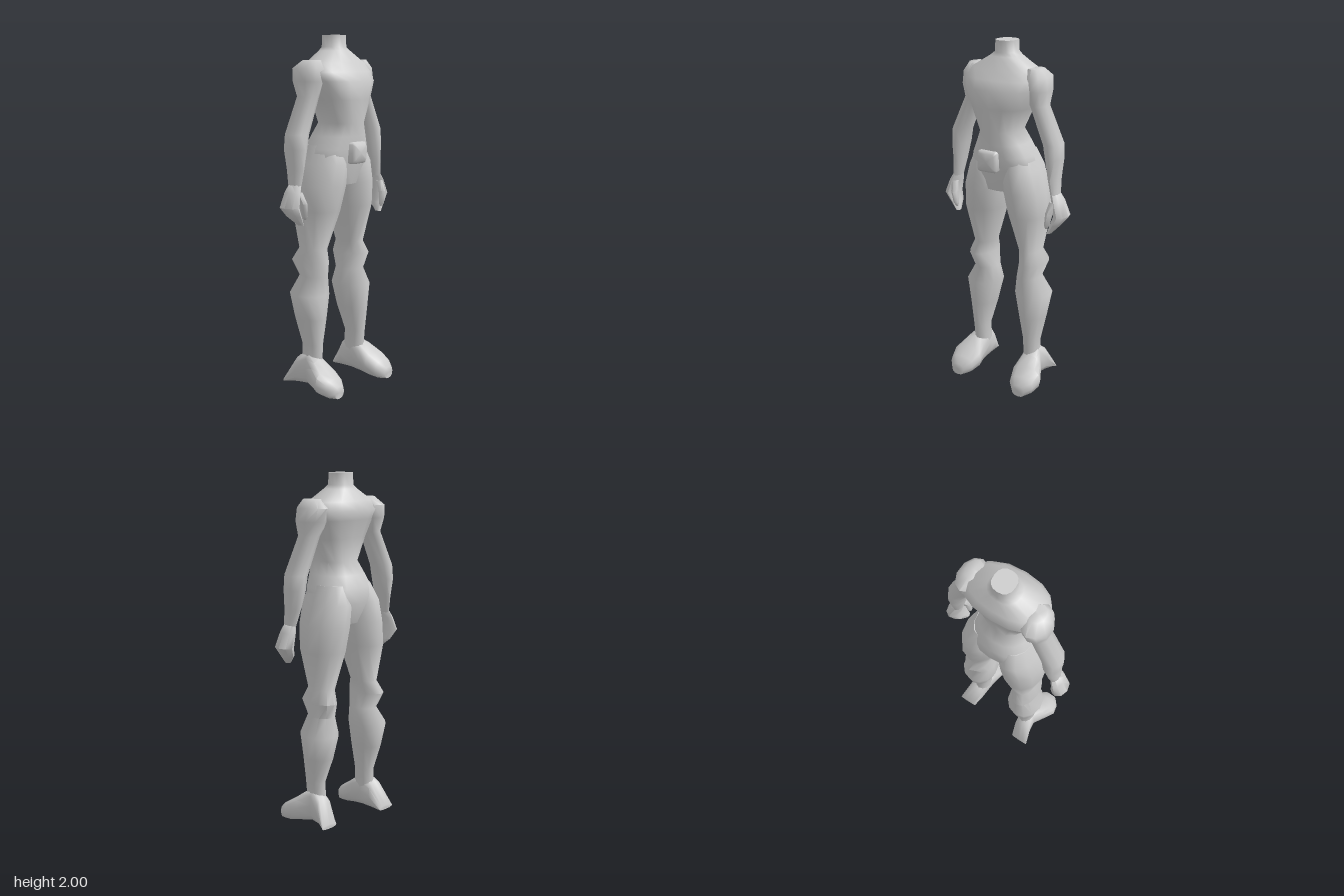
import * as THREE from 'three';
import { toCreasedNormals } from 'three/addons/utils/BufferGeometryUtils.js';

const bodyGrey = new THREE.MeshStandardMaterial({ color: 0xcccccc });
bodyGrey.name = 'body grey';

// Skin through rings [t, u0, u1, z0, z1]; along 'y' u is x, along 'x' u is y.
function loft(rings, { axis = 'y', sides = 12, power = 2, side = 1, shift = () => 0 } = {}) {
  const pos = [], idx = [];
  const put = (t, u, z) => {
    const p = axis === 'y' ? [u, t, z] : [t, u, z];
    pos.push(p[0] + shift(p[1]), p[1], p[2] * side);
  };
  const round = (c) => Math.sign(c) * Math.pow(Math.abs(c), 2 / power);
  for (const [t, u0, u1, z0, z1] of rings) {
    for (let i = 0; i < sides; i++) {
      const a = (i / sides) * Math.PI * 2;
      put(t, (u0 + u1) / 2 + round(Math.cos(a)) * (u1 - u0) / 2,
        (z0 + z1) / 2 + round(Math.sin(a)) * (z1 - z0) / 2);
    }
  }
  for (let r = 0; r < rings.length - 1; r++) {
    for (let i = 0; i < sides; i++) {
      const j = (i + 1) % sides, a = r * sides + i, b = r * sides + j;
      idx.push(a, b, a + sides, b, b + sides, a + sides);
    }
  }
  // End caps
  for (const r of [0, rings.length - 1]) {
    const [t, u0, u1, z0, z1] = rings[r];
    const c = pos.length / 3;
    put(t, (u0 + u1) / 2, (z0 + z1) / 2);
    for (let i = 0; i < sides; i++) {
      const a = r * sides + i, b = r * sides + (i + 1) % sides;
      if (r === 0) idx.push(c, b, a); else idx.push(c, a, b);
    }
  }
  // Turn the faces outward when the enclosed volume is negative
  const v = (i) => new THREE.Vector3(pos[i * 3], pos[i * 3 + 1], pos[i * 3 + 2]);
  let volume = 0;
  for (let k = 0; k < idx.length; k += 3) volume += v(idx[k]).dot(v(idx[k + 1]).cross(v(idx[k + 2])));
  if (volume < 0) idx.reverse();
  const g = new THREE.BufferGeometry();
  g.setAttribute('position', new THREE.Float32BufferAttribute(pos, 3));
  g.setIndex(idx);
  return toCreasedNormals(g, 1.05);
}

const torso = [
  [2.0, -0.10, 0.03, -0.06, 0.06], [1.935, -0.10, 0.03, -0.065, 0.065],
  [1.915, -0.11, 0.045, -0.09, 0.09], [1.85, -0.145, 0.09, -0.20, 0.20],
  [1.80, -0.17, 0.125, -0.235, 0.235], [1.75, -0.155, 0.16, -0.22, 0.22],
  [1.65, -0.13, 0.155, -0.175, 0.175], [1.52, -0.115, 0.143, -0.112, 0.112],
  [1.45, -0.15, 0.14, -0.145, 0.145], [1.38, -0.178, 0.135, -0.18, 0.18],
  [1.30, -0.19, 0.125, -0.205, 0.205], [1.18, -0.14, 0.09, -0.12, 0.12],
];
const leg = [
  [1.40, -0.15, 0.09, 0.02, 0.17], [1.30, -0.2, 0.125, 0.0, 0.213],
  [1.18, -0.2, 0.12, 0.002, 0.25], [1.04, -0.195, 0.095, 0.03, 0.26],
  [0.82, -0.152, 0.025, 0.095, 0.218], [0.75, -0.19, 0.05, 0.10, 0.25],
  [0.66, -0.152, 0.022, 0.082, 0.22], [0.56, -0.195, 0.04, 0.07, 0.28],
  [0.42, -0.165, 0.03, 0.10, 0.255], [0.27, -0.115, 0.015, 0.135, 0.23],
  [0.18, -0.12, 0.01, 0.135, 0.225], [0.10, -0.12, 0.0, 0.14, 0.235],
];
const foot = [
  [-0.2, 0.03, 0.055, 0.16, 0.27], [-0.13, 0.03, 0.19, 0.14, 0.25],
  [-0.06, 0.03, 0.23, 0.135, 0.24], [0.01, 0.02, 0.19, 0.13, 0.28],
  [0.07, 0.01, 0.145, 0.12, 0.31], [0.13, 0.0, 0.105, 0.14, 0.295],
  [0.172, 0.0, 0.07, 0.18, 0.26],
];
const arm = [
  [1.865, -0.09, 0.02, 0.15, 0.235], [1.82, -0.155, 0.05, 0.13, 0.27],
  [1.75, -0.145, 0.05, 0.13, 0.28], [1.67, -0.11, 0.02, 0.165, 0.27],
  [1.47, -0.12, 0.02, 0.25, 0.365], [1.39, -0.125, 0.02, 0.27, 0.365],
  [1.28, -0.105, 0.01, 0.295, 0.355], [1.19, -0.085, 0.0, 0.315, 0.36],
];
const hand = [
  [1.20, -0.085, 0.0, 0.315, 0.36], [1.16, -0.10, 0.01, 0.32, 0.385],
  [1.08, -0.11, 0.015, 0.335, 0.42], [1.03, -0.09, 0.01, 0.32, 0.38],
  [0.98, -0.035, 0.005, 0.31, 0.335],
];
const thumb = [
  [1.16, -0.03, 0.01, 0.32, 0.36], [1.10, -0.01, 0.035, 0.31, 0.35],
  [1.03, -0.005, 0.03, 0.305, 0.335], [1.01, 0.005, 0.015, 0.31, 0.32],
];

export function createModel() {
  const model = new THREE.Group();
  model.name = 'figure';
  const add = (name, geometry) => {
    const mesh = new THREE.Mesh(geometry, bodyGrey);
    mesh.name = name;
    model.add(mesh);
    return mesh;
  };

  add('torso', loft(torso, { sides: 16, power: 2.4 }));

  // Limbs, with the -z side set slightly forward
  for (const [label, side] of [['left', -1], ['right', 1]]) {
    const ahead = side < 0 ? 1 : 0;
    const legs = { side, shift: (y) => ahead * 0.03 * THREE.MathUtils.clamp((1.2 - y) / 0.6, 0, 1) };
    const arms = { side, sides: 10, shift: (y) => ahead * (0.02 + 0.04 * (1.85 - y) / 0.85) };
    add(label + 'Leg', loft(leg, legs));
    add(label + 'Foot', loft(foot, { ...legs, axis: 'x', power: 2.5 }));
    add(label + 'Arm', loft(arm, arms));
    add(label + 'Hand', loft(hand, { ...arms, sides: 8 }));
    add(label + 'Thumb', loft(thumb, { ...arms, sides: 6 }));
  }

  // Belt buckle: a bevelled plate on the front of the waist
  const buckle = loft([
    [0.11, 1.30, 1.42, -0.048, 0.077], [0.15, 1.30, 1.42, -0.048, 0.077],
    [0.165, 1.315, 1.405, -0.035, 0.064],
  ], { axis: 'x', sides: 16, power: 8 });
  add('beltBuckle', buckle);

  return model;
}
